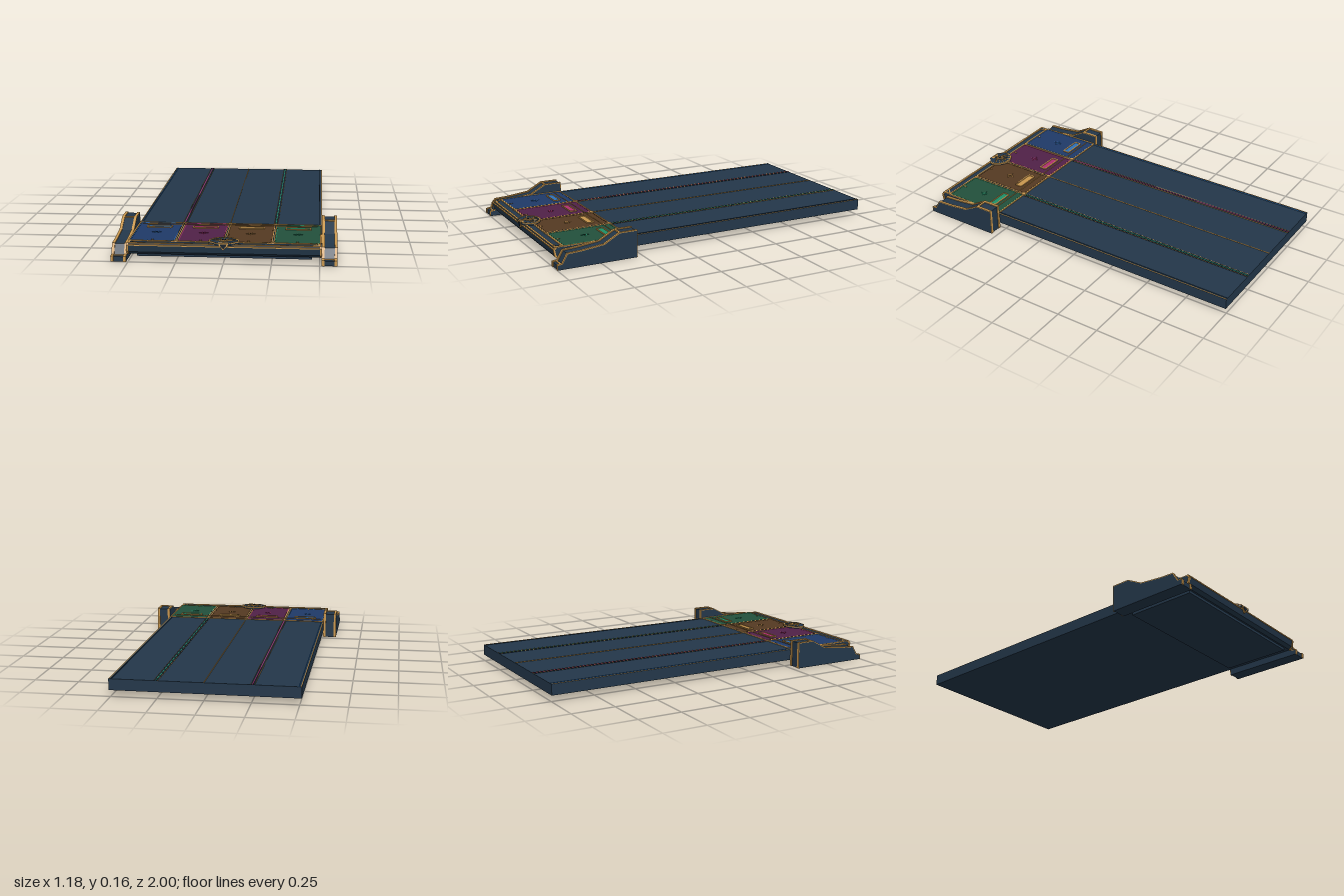
import * as THREE from 'three';

const mat = (name, color) => new THREE.MeshStandardMaterial({ name, color, side: THREE.DoubleSide });

export function createModel() {
  const model = new THREE.Group();
  const navy = mat('navy', 0x23374a), gold = mat('gold', 0xc9974e), dark = mat('dark', 0x14202c);
  const lanes = [
    { name: 'blue', x: -0.382, base: mat('deepBlue', 0x1f3a68), glow: mat('brightBlue', 0x2f72b8) },
    { name: 'purple', x: -0.127, base: mat('deepPurple', 0x502148), glow: mat('brightPink', 0xb0306e) },
    { name: 'amber', x: 0.127, base: mat('deepBrown', 0x553a22), glow: gold },
    { name: 'green', x: 0.382, base: mat('deepGreen', 0x22503c), glow: mat('brightGreen', 0x1f9068) },
  ];

  const add = (name, geo, m, x = 0, y = 0, z = 0, parent = model) => {
    const mesh = new THREE.Mesh(geo, m);
    mesh.name = name;
    mesh.position.set(x, y, z);
    parent.add(mesh);
    return mesh;
  };
  const box = (name, m, w, h, d, x, y, z) => add(name, new THREE.BoxGeometry(w, h, d), m, x, y, z);
  const rounded = (w, h, r, P = THREE.Shape) => {
    const s = new P(), a = w / 2, b = h / 2;
    s.moveTo(-a + r, -b); s.lineTo(a - r, -b); s.quadraticCurveTo(a, -b, a, -b + r);
    s.lineTo(a, b - r); s.quadraticCurveTo(a, b, a - r, b);
    s.lineTo(-a + r, b); s.quadraticCurveTo(-a, b, -a, b - r);
    s.lineTo(-a, -b + r); s.quadraticCurveTo(-a, -b, -a + r, -b);
    return s;
  };
  // Shape lying flat, extruded upwards
  const flat = (shape, h) =>
    new THREE.ExtrudeGeometry(shape, { depth: h, bevelEnabled: false, curveSegments: 4 }).rotateX(-Math.PI / 2);
  const frame = (w, d, r, t) => {
    const s = rounded(w, d, r);
    s.holes.push(rounded(w - 2 * t, d - 2 * t, r * 0.8, THREE.Path));
    return s;
  };
  // Side profile given as [z, y], extruded along x and centred
  const profile = (pts, w) => new THREE.ExtrudeGeometry(
    new THREE.Shape(pts.map(([z, y]) => new THREE.Vector2(z, y))), { depth: w, bevelEnabled: false },
  ).translate(0, 0, -w / 2).rotateY(-Math.PI / 2);
  const star = (n, R, r) => new THREE.Shape(Array.from({ length: n * 2 }, (_, i) => {
    const a = i * Math.PI / n, k = i % 2 ? r : (i % 4 ? R * 0.65 : R);
    return new THREE.Vector2(Math.sin(a) * k, Math.cos(a) * k);
  }));

  // Long board with its lane lines
  box('board', navy, 1.02, 0.062, 1.54, 0, 0.066, -0.23);
  for (const x of [-0.255, 0.255]) {
    box('laneGroove', dark, 0.024, 0.003, 1.54, x, 0.0975, -0.23);
    for (const s of [-1, 1]) box('grooveEdge', gold, 0.002, 0.004, 1.54, x + s * 0.011, 0.0975, -0.23);
  }
  [[-0.495, lanes[0].glow], [-0.255, lanes[1].glow], [0, gold], [0.255, lanes[3].glow], [0.495, navy]]
    .forEach(([x, m]) => box('laneLine', m, 0.004, 0.004, 1.54, x, 0.098, -0.23));
  for (const s of [-1, 1]) box('boardEdgeTrim', gold, 0.004, 0.004, 1.54, s * 0.507, 0.0965, -0.23);

  // Front deck with sloping nose, and the lower tray
  add('deck', profile([[0.54, 0.035], [0.96, 0.035], [0.978, 0.05], [0.985, 0.085], [0.975, 0.096],
    [0.54, 0.096]], 1.01), navy);
  box('tray', navy, 0.92, 0.02, 0.39, 0, 0.03, 0.755);
  box('noseTopTrim', gold, 1.0, 0.006, 0.008, 0, 0.088, 0.984);
  box('noseTopTrim', gold, 1.0, 0.004, 0.01, 0, 0.097, 0.972);
  for (const s of [-1, 1]) {
    add('noseEndTrim', profile([[0.955, 0.035], [0.963, 0.033], [0.982, 0.05], [0.988, 0.085],
      [0.977, 0.099], [0.965, 0.096], [0.978, 0.084], [0.971, 0.052]], 0.01), gold, s * 0.505);
    const corner = new THREE.Shape([[0, 0], [0.045, 0], [0, 0.045]].map(([x, y]) => new THREE.Vector2(x * -s, y)));
    add('cornerTrim', flat(corner, 0.003), gold, s * 0.5, 0.097, 0.972);
    const inset = new THREE.Shape([[0.007, 0.006], [0.03, 0.006], [0.007, 0.029]]
      .map(([x, y]) => new THREE.Vector2(x * -s, y)));
    add('cornerInset', flat(inset, 0.004), navy, s * 0.5, 0.097, 0.972);
  }
  add('frontStripFrame', flat(frame(1.01, 0.05, 0.008, 0.006), 0.004), gold, 0, 0.096, 0.954);

  // Coloured lane panels, each with frame, slot and star
  for (const { name, x, base, glow } of lanes) {
    const panel = new THREE.Group();
    panel.name = name + 'Panel';
    panel.position.set(x, 0, 0.737);
    model.add(panel);
    add('panelFace', flat(rounded(0.244, 0.384, 0.016), 0.003), base, 0, 0.096, 0, panel);
    add('panelFrame', flat(frame(0.254, 0.392, 0.02, 0.008), 0.005), gold, 0, 0.096, 0, panel);
    add('panelInnerLine', flat(frame(0.232, 0.37, 0.014, 0.002), 0.004), glow === gold ? base : glow, 0, 0.096, 0, panel);
    add('slotFrame', flat(frame(0.142, 0.046, 0.01, 0.007), 0.006), gold, 0, 0.098, -0.1, panel);
    add('slotLight', flat(rounded(0.13, 0.034, 0.006), 0.003), glow, 0, 0.098, -0.1, panel);
    add('panelStar', flat(star(8, 0.026, 0.007), 0.004), glow, 0, 0.097, 0.018, panel);
    add('panelStarCentre', flat(star(4, 0.009, 0.006), 0.005), base, 0, 0.097, 0.018, panel);
    add('panelMark', flat(star(4, 0.012, 0.003), 0.004), gold, 0, 0.097, 0.172, panel);
  }
  box('crossLine', gold, 0.97, 0.003, 0.004, 0, 0.1035, 0.592);
  for (const x of [-0.255, 0, 0.255]) {
    box('panelDivider', dark, 0.005, 0.006, 0.385, x, 0.0985, 0.737);
    for (const z of [0.548, 0.925]) {
      add('dividerStud', new THREE.CylinderGeometry(0.012, 0.015, 0.008, 8), gold, x, 0.099, z);
    }
  }

  // Fan ornament with compass star and pointed front shield
  const fan = (R) => {
    const s = new THREE.Shape();
    s.moveTo(R, -0.005);
    s.absarc(0, 0, R, 0, Math.PI, false);
    s.lineTo(-R * 0.45, -0.04); s.lineTo(R * 0.45, -0.04);
    return s;
  };
  const fanRing = fan(0.083);
  fanRing.holes.push(new THREE.Path(fan(0.074).getPoints(8)));
  add('fanBase', flat(fan(0.08), 0.014), navy, 0, 0.095, 0.95);
  add('fanRim', flat(fanRing, 0.006), gold, 0, 0.105, 0.95);
  for (let i = 1; i < 8; i++) {
    const a = i * Math.PI / 8;
    const ray = box('fanRay', gold, 0.003, 0.003, 0.035, Math.cos(a) * 0.056, 0.1095, 0.95 - Math.sin(a) * 0.056);
    ray.rotation.y = a - Math.PI / 2;
  }
  add('compassStar', flat(star(8, 0.045, 0.012), 0.006), gold, 0, 0.109, 0.94);
  add('compassHub', new THREE.CylinderGeometry(0.01, 0.01, 0.004, 12), dark, 0, 0.1145, 0.94);
  const shield = (k) => new THREE.Shape([[-0.026, 0.02], [0.026, 0.02], [0.022, 0.004], [0, -0.02], [-0.022, 0.004]]
    .map(([x, y]) => new THREE.Vector2(x * k, y * k)));
  add('shield', new THREE.ExtrudeGeometry(shield(1), { depth: 0.02, bevelEnabled: false }), gold, 0, 0.089, 0.972);
  add('shieldInset', new THREE.ExtrudeGeometry(shield(0.65), { depth: 0.003, bevelEnabled: false }), dark, 0, 0.09, 0.991);

  // Side brackets: navy core with gold rails along both edges
  const outer = [[1, 0], [1, 0.03], [0.972, 0.034], [0.942, 0.086], [0.86, 0.09], [0.73, 0.105], [0.64, 0.155],
    [0.535, 0.155], [0.535, 0]];
  const inner = [[0.996, 0], [0.996, 0.026], [0.969, 0.03], [0.939, 0.081], [0.86, 0.085], [0.729, 0.1],
    [0.639, 0.15], [0.539, 0.15], [0.539, 0]];
  const band = [...outer, ...inner.slice().reverse()];
  for (const s of [-1, 1]) {
    const bracket = new THREE.Group();
    bracket.name = s > 0 ? 'leftBracket' : 'rightBracket';
    bracket.position.x = s * 0.551;
    model.add(bracket);
    add('bracketCore', profile(inner, 0.082), navy, 0, 0, 0, bracket);
    for (const e of [-1, 1]) add('bracketRail', profile(band, 0.015), gold, e * 0.0335, 0, 0, bracket);
    add('bracketCrossbar', new THREE.BoxGeometry(0.08, 0.006, 0.012), gold, 0, 0.1515, 0.636, bracket);
    add('bracketToeBar', new THREE.BoxGeometry(0.08, 0.005, 0.008), gold, 0, 0.029, 0.978, bracket);
  }
  return model;
}
